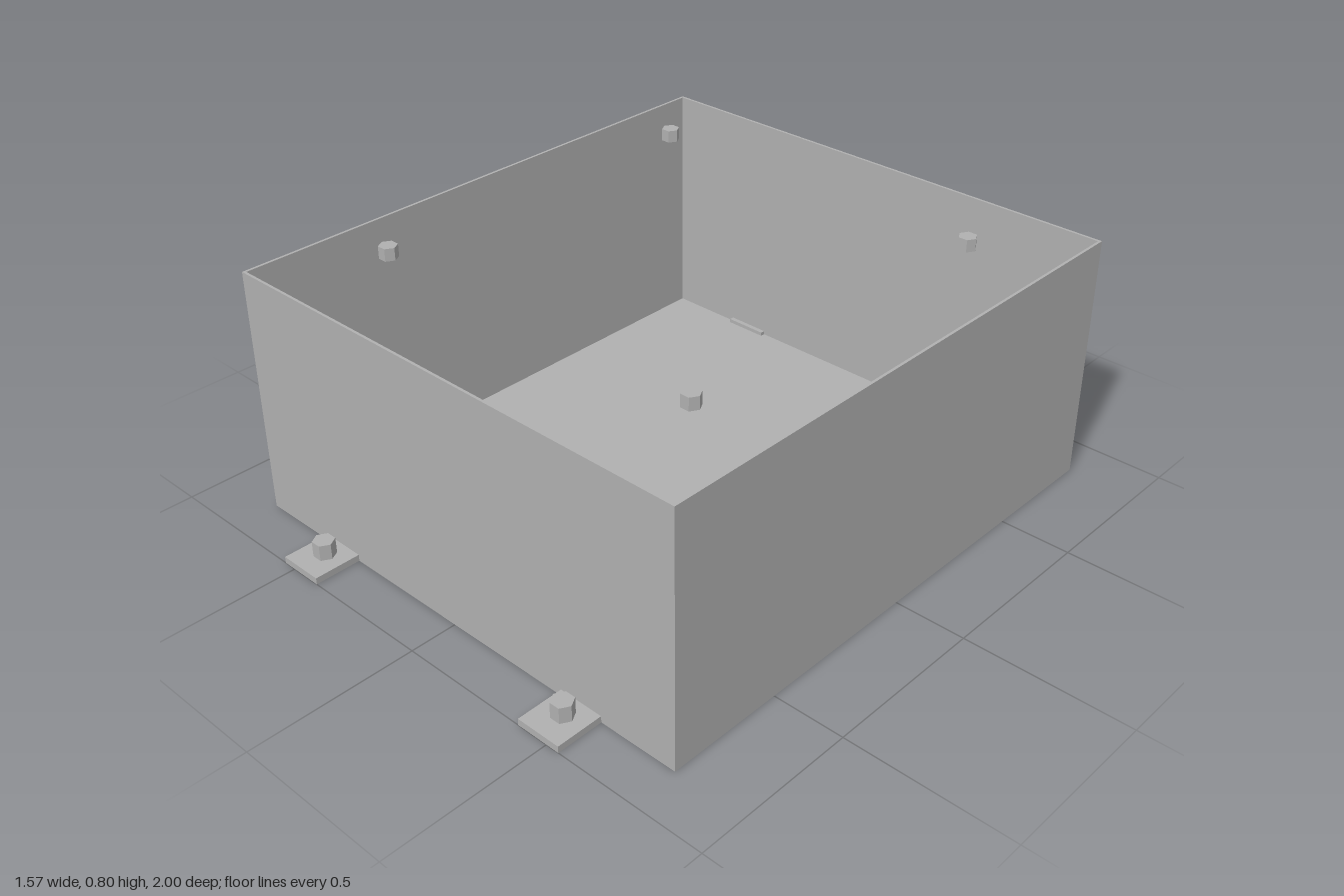
import * as THREE from 'three';

export function createModel() {
  const model = new THREE.Group();
  const grey = new THREE.MeshStandardMaterial({ color: 0xb0b0b0 });
  grey.name = 'plain grey';

  const W = 1.57, D = 1.714, H = 0.755, T = 0.008;

  function add(name, geometry, x, y, z) {
    const mesh = new THREE.Mesh(geometry, grey);
    mesh.name = name;
    mesh.position.set(x, y, z);
    model.add(mesh);
  }

  // Hexagonal bolt with its corners along x
  function hexBolt(radius, height) {
    const g = new THREE.CylinderGeometry(radius, radius, height, 6).toNonIndexed();
    g.rotateY(Math.PI / 2);
    g.computeVertexNormals();
    return g;
  }

  // Open tray: four thin walls as one frame, plus the floor
  const outline = new THREE.Shape([
    new THREE.Vector2(-W / 2, -D / 2), new THREE.Vector2(W / 2, -D / 2),
    new THREE.Vector2(W / 2, D / 2), new THREE.Vector2(-W / 2, D / 2),
  ]);
  const w = W / 2 - T, d = D / 2 - T;
  outline.holes.push(new THREE.Path([
    new THREE.Vector2(-w, -d), new THREE.Vector2(-w, d),
    new THREE.Vector2(w, d), new THREE.Vector2(w, -d),
  ]));
  const frame = new THREE.ExtrudeGeometry(outline, { depth: H, bevelEnabled: false });
  frame.rotateX(-Math.PI / 2);
  add('walls', frame, 0, 0, 0);
  add('floor', new THREE.BoxGeometry(2 * w, T, 2 * d), 0, T / 2, 0);

  // Mounting tabs with bolts, and the raised lid screws
  const tab = new THREE.BoxGeometry(0.14, 0.02, 0.166);
  const tabBolt = hexBolt(0.032, 0.048);
  const lidScrew = hexBolt(0.027, 0.037);
  for (const sx of [-1, 1]) {
    for (const sz of [-1, 1]) {
      add('mountingTab', tab, sx * 0.471, 0.01, sz * 0.917);
      add('tabBolt', tabBolt, sx * 0.471, 0.044, sz * 0.917);
      add('lidScrew', lidScrew, sx * 0.55, 0.784, sz * 0.55);
    }
  }
  return model;
}
